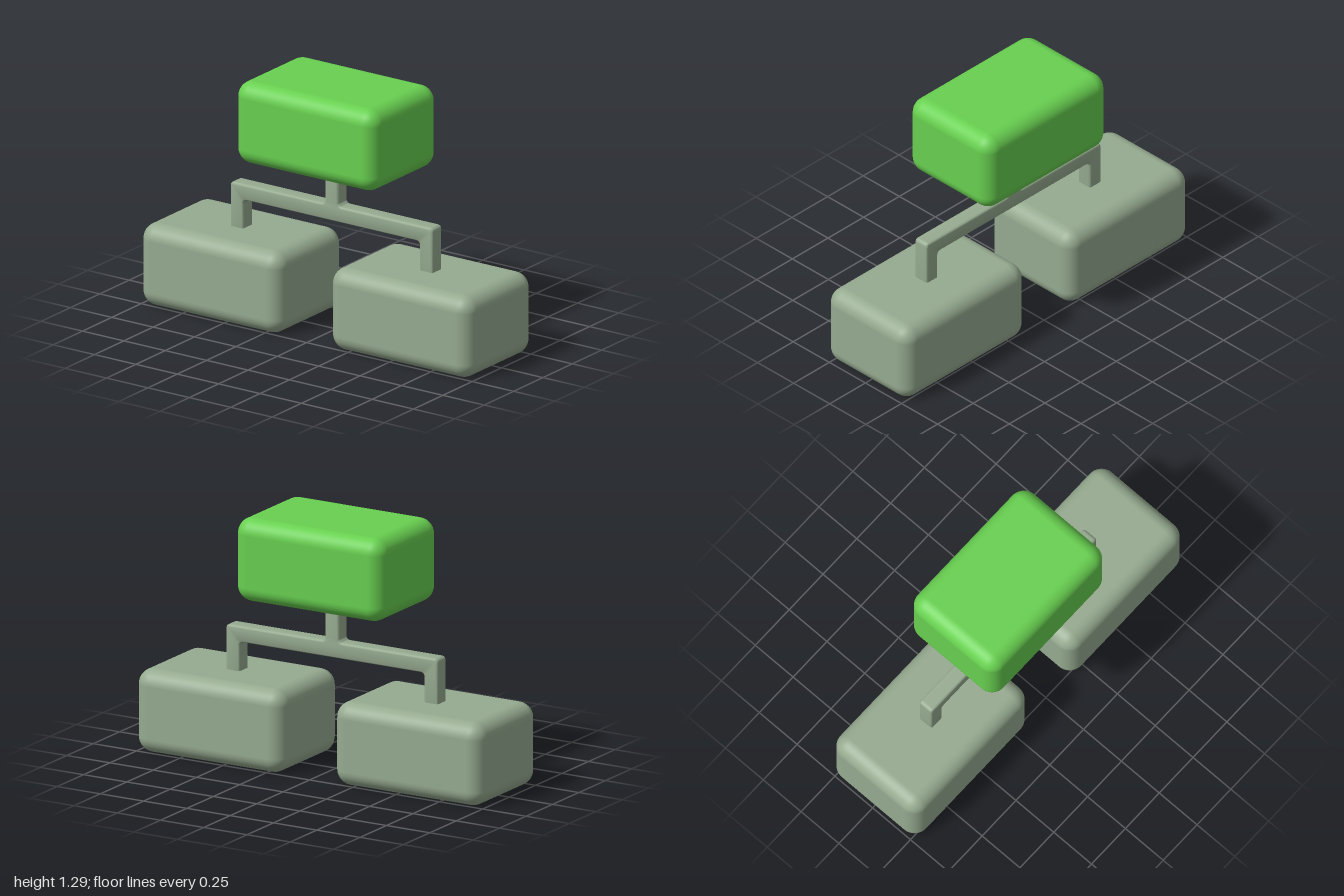
import * as THREE from 'three';
import { RoundedBoxGeometry } from 'three/addons/geometries/RoundedBoxGeometry.js';
import { toCreasedNormals } from 'three/addons/utils/BufferGeometryUtils.js';

// Closed shape through the corners, each rounded by radius r
function roundedShape(corners, r) {
  const pts = corners.map(([x, y]) => new THREE.Vector2(x, y));
  const shape = new THREE.Shape();
  pts.forEach((p, i) => {
    const prev = pts[(i + pts.length - 1) % pts.length];
    const next = pts[(i + 1) % pts.length];
    const a = p.clone().add(prev.clone().sub(p).setLength(r));
    const b = p.clone().add(next.clone().sub(p).setLength(r));
    if (i === 0) shape.moveTo(a.x, a.y);
    else shape.lineTo(a.x, a.y);
    shape.quadraticCurveTo(p.x, p.y, b.x, b.y);
  });
  shape.closePath();
  return shape;
}

export function createModel() {
  const group = new THREE.Group();
  const green = new THREE.MeshStandardMaterial({ color: 0x68d050 });
  const sage = new THREE.MeshStandardMaterial({ color: 0x96ab90 });

  // Three equal rounded blocks: one on top, two below
  const blockGeometry = new RoundedBoxGeometry(0.854, 0.427, 0.57, 6, 0.08);
  const addBlock = (name, x, y, material) => {
    const block = new THREE.Mesh(blockGeometry, material);
    block.name = name;
    block.position.set(x, y, 0);
    group.add(block);
  };
  addBlock('topBlock', 0, 1.072, green);
  addBlock('leftBlock', 0.573, 0.2135, sage);
  addBlock('rightBlock', -0.573, 0.2135, sage);

  // Branching connector: stem, crossbar and two legs in one outline
  const half = [[0.04, 0.9], [0.04, 0.658], [0.612, 0.658], [0.612, 0.39], [0.532, 0.39], [0.532, 0.576]];
  const mirrored = half.map(([x, y]) => [-x, y]).reverse();
  const depth = 0.084, bevel = 0.012;
  const geometry = new THREE.ExtrudeGeometry(roundedShape([...half, ...mirrored], 0.022), {
    depth: depth - 2 * bevel,
    bevelThickness: bevel,
    bevelSize: bevel,
    bevelOffset: -bevel,
    bevelSegments: 4,
    curveSegments: 6,
  });
  geometry.translate(0, 0, bevel - depth / 2);
  const connector = new THREE.Mesh(toCreasedNormals(geometry, 0.7), sage);
  connector.name = 'connector';
  group.add(connector);

  return group;
}
